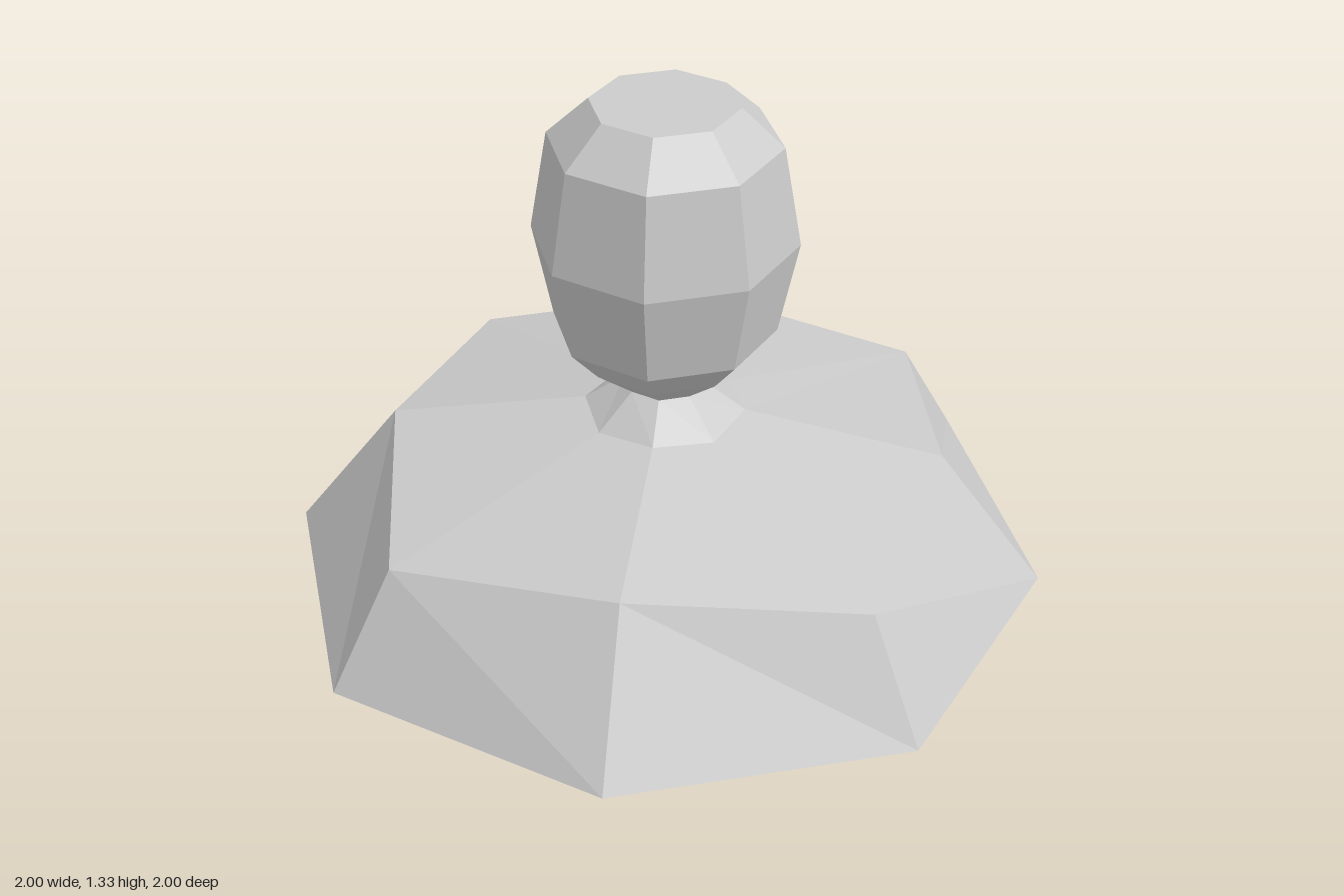
import * as THREE from 'three';

// Eight-sided turned part. Each ring is [radius, y, cornerRadius, cornerY];
// the corner values apply to the four diagonal points and default to the first two.
function turned(name, rings, material) {
  const geometry = new THREE.LatheGeometry(rings.map(([r, y]) => new THREE.Vector2(r, y)), 8);
  const pos = geometry.attributes.position;
  for (let i = 0; i < pos.count; i++) {
    const segment = Math.floor(i / rings.length);
    const [r, y, cornerR = r, cornerY = y] = rings[i % rings.length];
    const diagonal = segment % 2 === 1;
    const angle = segment * Math.PI / 4;
    const radius = diagonal ? cornerR : r;
    pos.setXYZ(i, radius * Math.sin(angle), diagonal ? cornerY : y, radius * Math.cos(angle));
  }
  geometry.computeVertexNormals();
  const mesh = new THREE.Mesh(geometry, material);
  mesh.name = name;
  return mesh;
}

export function createModel() {
  const group = new THREE.Group();
  group.name = 'bust';
  const material = new THREE.MeshStandardMaterial({ color: 0xcccccc, flatShading: true });

  // Wide sloping shoulders with a closed underside
  group.add(turned('shoulders', [
    [0, 0],
    [1, 0, 1.025, 0],
    [0.725, 0.365, 0.844, 0.3],
    [0.21, 0.46, 0.21, 0.45],
  ], material));

  // Short neck narrowing up to the head
  group.add(turned('neck', [
    [0.21, 0.46, 0.21, 0.45],
    [0.105, 0.535],
  ], material));

  // Faceted head with a flat crown
  group.add(turned('head', [
    [0.105, 0.535],
    [0.21, 0.62],
    [0.288, 0.71],
    [0.34, 0.96],
    [0.295, 1.225],
    [0.188, 1.325],
    [0, 1.325],
  ], material));

  return group;
}
